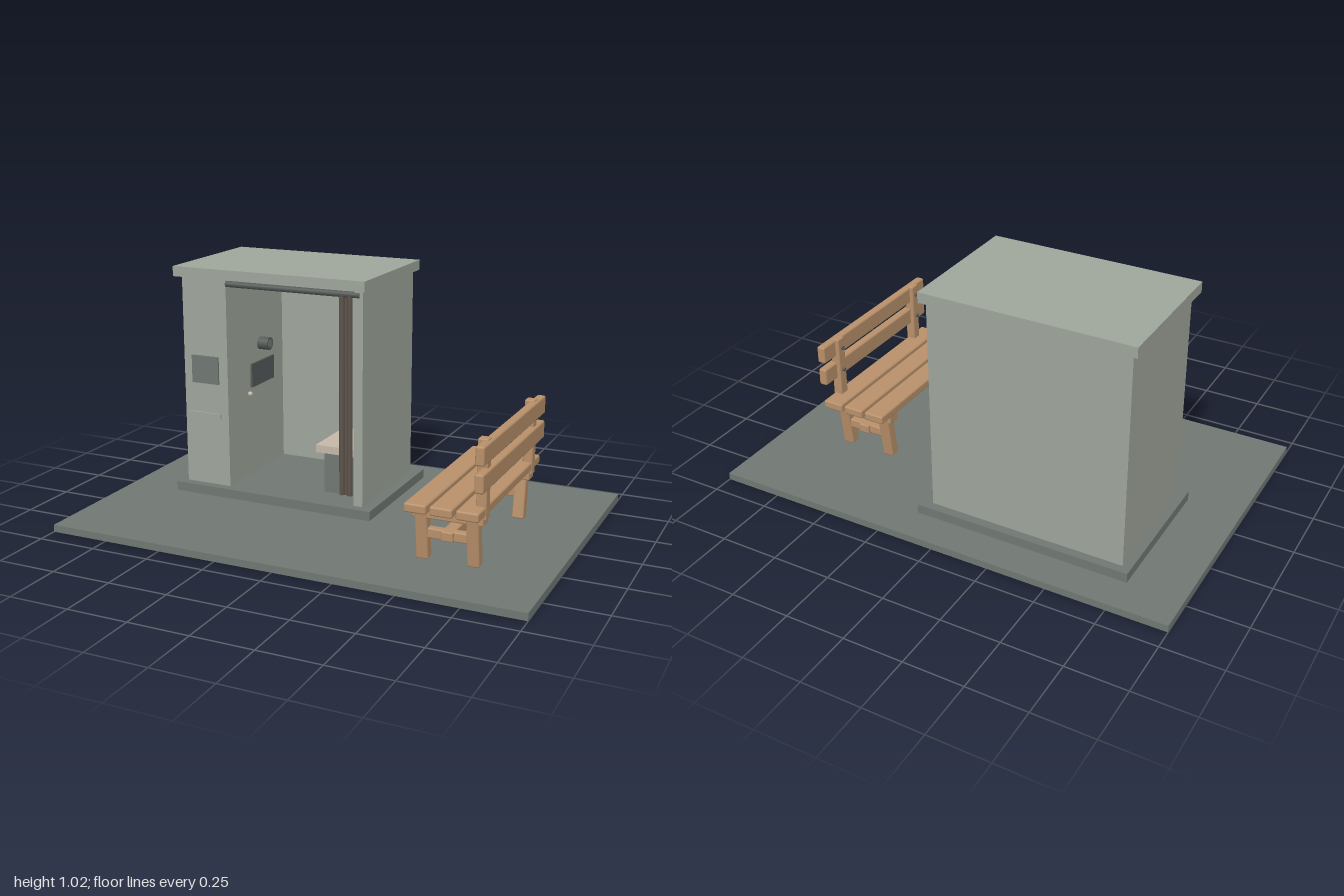
import * as THREE from 'three';
import { RoundedBoxGeometry } from 'three/addons/geometries/RoundedBoxGeometry.js';

const paint = (name, color) => Object.assign(new THREE.MeshStandardMaterial({ color }), { name });

export function createModel() {
  const shell = paint('pale grey green', 0x9ea59b);
  const slate = paint('slate grey', 0x707873);
  const steel = paint('dark steel', 0x555a59);
  const cloth = paint('brown curtain', 0x5f544c);
  const cream = paint('cream seat', 0xc4b8a8);
  const wood = paint('wood', 0xb8906a);

  const model = new THREE.Group();
  const booth = new THREE.Group();
  booth.name = 'booth';
  const bench = new THREE.Group();
  bench.name = 'bench';
  model.add(booth, bench);

  const add = (parent, name, geometry, material, x = 0, y = 0, z = 0) => {
    const mesh = new THREE.Mesh(geometry, material);
    mesh.name = name;
    mesh.position.set(x, y, z);
    parent.add(mesh);
    return mesh;
  };
  // Box given by its limits on each axis; a bevel above zero rounds the edges
  const block = (parent, name, material, [x0, x1], [y0, y1], [z0, z1], bevel = 0) => {
    const size = [x1 - x0, y1 - y0, z1 - z0];
    const geometry = bevel ? new RoundedBoxGeometry(...size, 1, bevel) : new THREE.BoxGeometry(...size);
    return add(parent, name, geometry, material, (x0 + x1) / 2, (y0 + y1) / 2, (z0 + z1) / 2);
  };

  // Ground slab
  block(model, 'ground', slate, [-1, 1], [0, 0.03], [-0.665, 0.665]);

  // Booth shell: solid cabinet on one side, open cabin on the other
  block(booth, 'plinth', slate, [-0.77, 0.15], [0.03, 0.07], [-0.517, 0.09]);
  block(booth, 'cabinet', shell, [-0.735, -0.525], [0.07, 0.977], [-0.48, 0.05]);
  block(booth, 'backWall', shell, [-0.525, 0.06], [0.07, 0.977], [-0.48, -0.45]);
  block(booth, 'sideWall', shell, [0.06, 0.1], [0.07, 0.977], [-0.48, 0.05]);
  block(booth, 'roof', shell, [-0.76, 0.12], [0.977, 1.02], [-0.505, 0.08]);

  // Outside panel and delivery slot
  block(booth, 'outsidePanel', slate, [-0.695, -0.567], [0.52, 0.64], [0.05, 0.058]);
  block(booth, 'deliverySlot', shell, [-0.705, -0.56], [0.365, 0.39], [0.05, 0.058]);

  // Camera, screen and button on the inner cabinet wall
  const lens = add(booth, 'cameraBarrel', new THREE.CylinderGeometry(0.028, 0.028, 0.05, 20), steel, -0.5, 0.647, -0.24);
  lens.rotation.z = -Math.PI / 2;
  const glass = add(booth, 'cameraGlass', new THREE.CylinderGeometry(0.018, 0.018, 0.004, 20), slate, -0.474, 0.647, -0.24);
  glass.rotation.z = -Math.PI / 2;
  block(booth, 'insideScreen', steel, [-0.525, -0.516], [0.465, 0.57], [-0.35, -0.147]);
  add(booth, 'button', new THREE.SphereGeometry(0.011, 12, 8), cream, -0.515, 0.442, -0.125);

  // Stool
  block(booth, 'stoolBase', slate, [-0.125, 0.06], [0.07, 0.245], [-0.31, -0.06]);
  block(booth, 'stoolSeat', cream, [-0.16, 0.06], [0.245, 0.278], [-0.33, -0.05]);

  // Curtain rail and gathered curtain
  const rail = add(booth, 'curtainRail', new THREE.CylinderGeometry(0.013, 0.013, 0.61, 12), steel, -0.22, 0.956, 0.043);
  rail.rotation.z = Math.PI / 2;
  for (let i = 0; i < 3; i++) {
    add(booth, 'curtainFold', new THREE.CylinderGeometry(0.011, 0.011, 0.85, 10), cloth,
      0.005 + i * 0.018, 0.535, i === 1 ? 0.036 : 0.045);
  }

  // Bench slats and back boards
  const length = [-0.315, 0.46];
  for (const x of [0.447, 0.549, 0.652]) {
    block(bench, 'seatSlat', wood, [x, x + 0.09], [0.243, 0.28], length, 0.008);
  }
  for (const y of [0.355, 0.46]) {
    block(bench, 'backBoard', wood, [0.72, 0.757], [y, y + 0.075], length, 0.008);
  }
  block(bench, 'stretcher', wood, [0.57, 0.62], [0.122, 0.162], [-0.245, 0.39], 0.006);

  // Two bench end frames, mirrored about the middle of the bench
  for (const side of [-1, 1]) {
    const z = 0.0725 + side * 0.2875;
    block(bench, 'seatBearer', wood, [0.455, 0.737], [0.203, 0.244], [z - 0.029, z + 0.029], 0.006);
    block(bench, 'crossRail', wood, [0.465, 0.72], [0.122, 0.162], [z - 0.018, z + 0.018], 0.006);
    block(bench, 'backPost', wood, [0.703, 0.745], [0.225, 0.541], [z - 0.022, z + 0.022], 0.006);
    for (const x of [0.465, 0.67]) {
      const leg = block(bench, 'leg', wood, [x, x + 0.05], [0.032, 0.235], [z - 0.022, z + 0.022], 0.006);
      leg.rotation.x = side * 0.13;
    }
    for (const y of [0.393, 0.497]) {
      const bolt = add(bench, 'bolt', new THREE.CylinderGeometry(0.008, 0.008, 0.012, 8), steel, 0.7, y, z);
      bolt.rotation.z = Math.PI / 2;
    }
  }
  return model;
}
